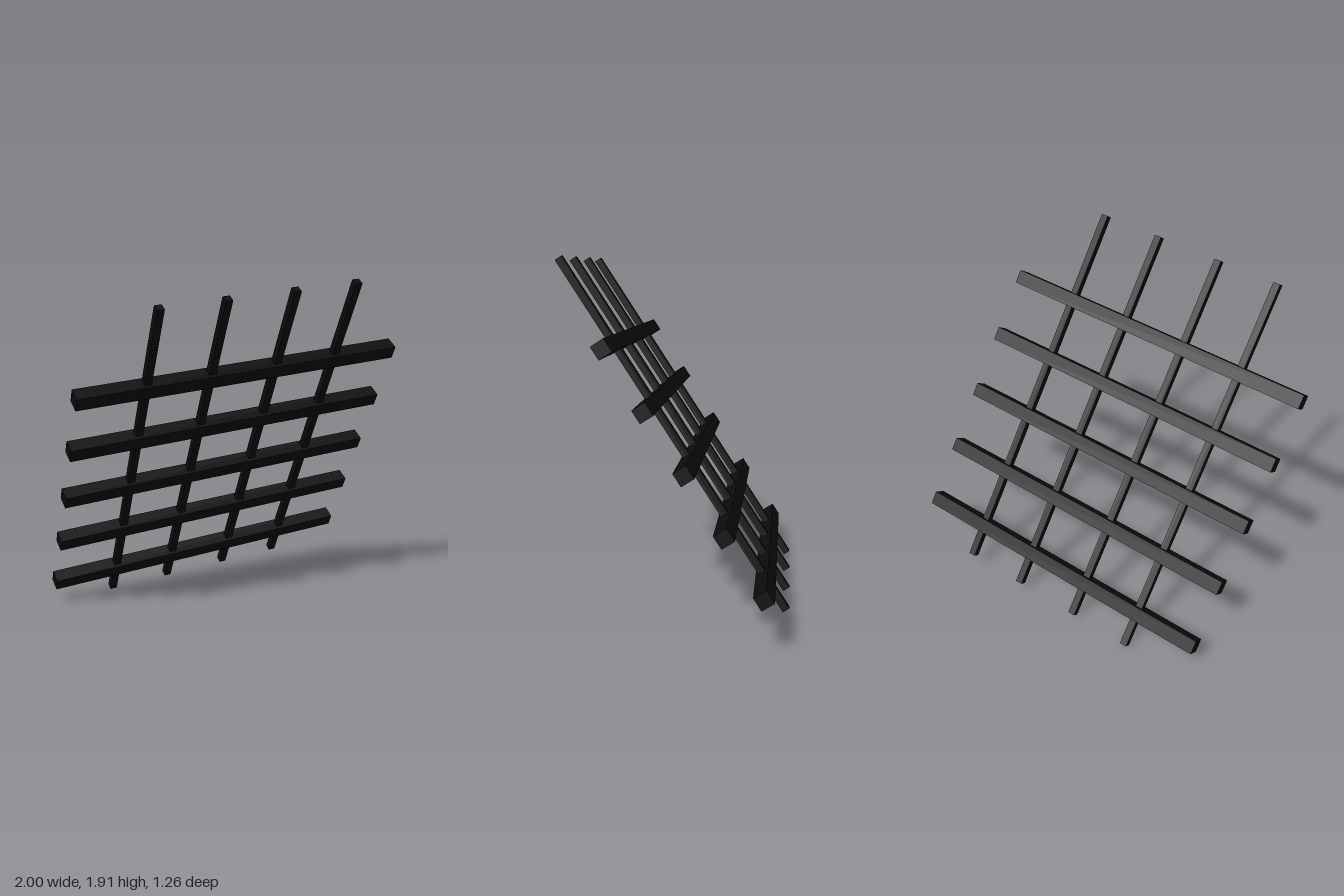
import * as THREE from 'three';

export function createModel() {
  const model = new THREE.Group();
  const material = new THREE.MeshStandardMaterial({ color: 0x0d0b0b });

  // Flat lattice, built upright and then leaned forward as a whole
  const lattice = new THREE.Group();
  lattice.name = 'lattice';

  const addBar = (name, w, h, d, x, y) => {
    const bar = new THREE.Mesh(new THREE.BoxGeometry(w, h, d), material);
    bar.name = name;
    bar.position.set(x, y, 0);
    lattice.add(bar);
  };

  // Five thick crosswise rails
  for (let i = -2; i <= 2; i++) addBar('rail', 1.866, 0.077, 0.077, 0, i * 0.3606);

  // Four thin lengthwise rods passing through the rails
  for (const x of [-0.552, -0.192, 0.192, 0.552]) addBar('rod', 0.04, 2.155, 0.04, x, 0.159);

  // Lean: rail direction, rod direction and their common normal
  const along = new THREE.Vector3(0.9955, 0.0851, 0.0386).normalize();
  const normal = along.clone().cross(new THREE.Vector3(-0.09, 0.832, 0.548)).normalize();
  const up = normal.clone().cross(along);
  lattice.quaternion.setFromRotationMatrix(new THREE.Matrix4().makeBasis(along, up, normal));
  lattice.position.set(0, 0.825, -0.089);

  model.add(lattice);
  return model;
}
